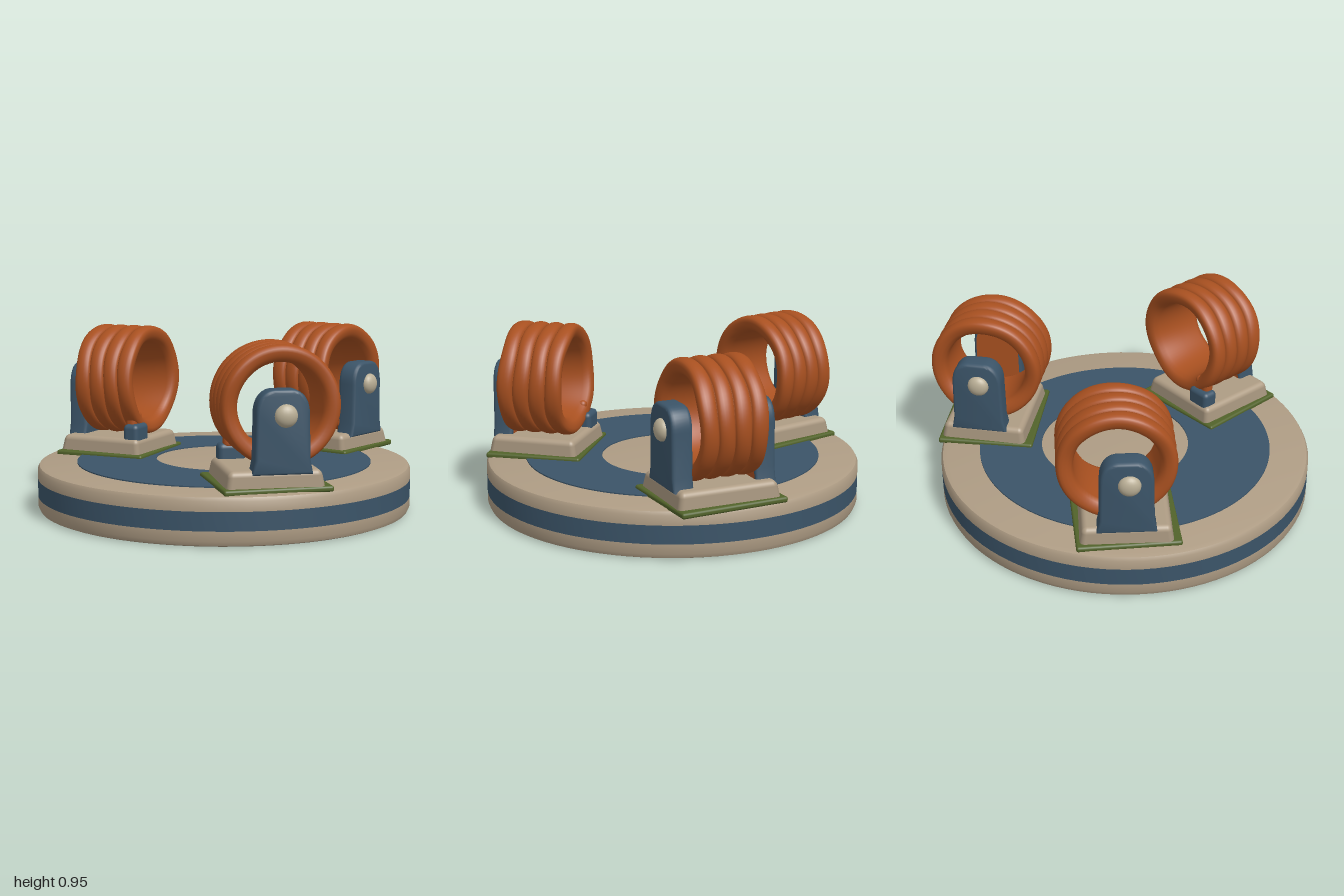
import * as THREE from 'three';
import { mergeVertices, toCreasedNormals } from 'three/addons/utils/BufferGeometryUtils.js';
import { RoundedBoxGeometry } from 'three/addons/geometries/RoundedBoxGeometry.js';

const material = (name, color) => {
  const m = new THREE.MeshStandardMaterial({ color });
  m.name = name;
  return m;
};

export function createModel() {
  const beige = material('beige stone', 0xae9c84);
  const blue = material('slate blue', 0x3b5468);
  const orange = material('burnt orange', 0xa85020);
  const pale = material('pale bolt', 0xb9ae95);
  const moss = material('moss green', 0x52632a);

  const model = new THREE.Group();
  const add = (parent, name, geometry, mat, x = 0, y = 0, z = 0) => {
    const mesh = new THREE.Mesh(geometry, mat);
    mesh.name = name;
    mesh.position.set(x, y, z);
    parent.add(mesh);
    return mesh;
  };
  const turned = (points) => toCreasedNormals(
    new THREE.LatheGeometry(points.map(([r, y]) => new THREE.Vector2(r, y)), 96), 0.6);

  // Round plinth in three layers
  add(model, 'plinthBottom', turned([[0, 0], [0.97, 0], [0.99, 0.008], [1, 0.03], [1, 0.08]]), beige);
  add(model, 'plinthBand', turned([[1, 0.08], [1, 0.175]]), blue);
  add(model, 'plinthTop', turned([[1, 0.175], [1, 0.225], [0.99, 0.243], [0.965, 0.25], [0, 0.25]]), beige);

  // Painted ring on top, with its hole a little off centre
  const ring = new THREE.Shape().absarc(0, 0, 0.79, 0, Math.PI * 2);
  ring.holes.push(new THREE.Path().absarc(0.03, 0.045, 0.4, 0, Math.PI * 2, true));
  const ringGeometry = new THREE.ExtrudeGeometry(ring, { depth: 0.007, bevelEnabled: false, curveSegments: 72 });
  add(model, 'topRing', ringGeometry.rotateX(-Math.PI / 2), blue, 0, 0.249, 0);

  // Wound coil: four rounded ribs outside, a smooth bore inside, slightly wobbly
  const coilGeometry = (seed) => {
    const length = 0.35, ribs = 4, w = length / ribs, points = [];
    const bore = [[0.245, -0.17], [0.226, -0.158], [0.214, -0.13], [0.21, 0], [0.214, 0.13], [0.226, 0.158], [0.245, 0.17]];
    points.push(new THREE.Vector2(0.245, -0.17));
    for (let i = 0; i < ribs; i++) {
      for (let k = 0; k <= 10; k++) {
        if (i > 0 && k === 0) continue;
        const a = (k / 10) * Math.PI;
        const r = 0.267 + 0.034 * Math.pow(Math.max(0, Math.sin(a)), 0.7);
        points.push(new THREE.Vector2(r, -length / 2 + w * (i + 0.5) - Math.cos(a) * w / 2));
      }
    }
    bore.reverse().forEach(([r, y]) => points.push(new THREE.Vector2(r, y)));
    let g = new THREE.LatheGeometry(points, 72);
    g.deleteAttribute('uv');
    g.deleteAttribute('normal');
    const p = g.attributes.position;
    for (let i = 0; i < p.count; i++) {
      const x = p.getX(i), y = p.getY(i), z = p.getZ(i);
      const a = Math.atan2(z, x), rib = Math.round(y / w);
      p.setY(i, y + 0.006 * Math.sin(2 * a + seed) + 0.003 * Math.sin(5 * a + rib + seed));
    }
    g = mergeVertices(g.rotateX(Math.PI / 2), 1e-4);
    g.computeVertexNormals();
    return g;
  };

  // Upright bracket with a rounded head and a slightly flared foot
  const bracketShape = new THREE.Shape();
  bracketShape.moveTo(-0.135, 0);
  bracketShape.lineTo(0.135, 0);
  bracketShape.lineTo(0.122, 0.06);
  bracketShape.lineTo(0.118, 0.28);
  bracketShape.bezierCurveTo(0.118, 0.345, 0.085, 0.385, 0.04, 0.385);
  bracketShape.lineTo(-0.04, 0.385);
  bracketShape.bezierCurveTo(-0.085, 0.385, -0.118, 0.345, -0.118, 0.28);
  bracketShape.lineTo(-0.122, 0.06);
  bracketShape.closePath();
  const bracketGeometry = toCreasedNormals(new THREE.ExtrudeGeometry(bracketShape, {
    depth: 0.07, bevelThickness: 0.02, bevelSize: 0.015, bevelSegments: 3, curveSegments: 10,
  }).translate(0, 0, -0.035), 0.7);
  const innerFace = new THREE.ShapeGeometry(bracketShape, 10).rotateY(Math.PI);

  const addBracket = (unit, x, z, paintedInside) => {
    const bracket = new THREE.Group();
    bracket.name = 'bracket';
    bracket.position.set(x, 0.345, z);
    if (z < 0) bracket.rotation.y = Math.PI;
    add(bracket, 'bracketPlate', bracketGeometry, blue);
    if (paintedInside) add(bracket, 'bracketInnerFace', innerFace, orange, 0, 0, -0.057);
    const bolt = add(bracket, 'bolt', new THREE.SphereGeometry(0.057, 20, 14), pale, 0.012, 0.275, 0.055);
    bolt.scale.z = 0.65;
    unit.add(bracket);
  };

  // Tapered foot block with rounded edges
  const footGeometry = (width, depth) => {
    const g = new RoundedBoxGeometry(width, 0.11, depth, 4, 0.028);
    const p = g.attributes.position;
    for (let i = 0; i < p.count; i++) {
      const s = 0.96 - (p.getY(i) / 0.055) * 0.04;
      p.setX(i, p.getX(i) * s);
      p.setZ(i, p.getZ(i) * s);
    }
    return g;
  };

  // Three coil stands; local +z is the coil axis
  const stands = [
    { name: 'frontCoilStand', at: [0.26, 0.645], turn: 16, size: [0.5, 0.5], coil: [0.048, -0.022], brackets: [[0.033, 0.19]], stub: -0.14, painted: true },
    { name: 'backLeftCoilStand', at: [0.54, -0.555], turn: 56, size: [0.47, 0.56], coil: [0, 0], brackets: [[0.015, 0.22], [0.02, -0.22]], painted: true },
    { name: 'rightCoilStand', at: [-0.61, -0.275], turn: -110.8, size: [0.48, 0.5], coil: [-0.042, -0.027], brackets: [[0, 0.19]], stub: 0.14, painted: false },
  ];
  stands.forEach((s, i) => {
    const unit = new THREE.Group();
    unit.name = s.name;
    unit.position.set(s.at[0], 0, s.at[1]);
    unit.rotation.y = THREE.MathUtils.degToRad(s.turn);
    const [w, d] = s.size;

    // Moss edge peeking out around the foot
    const edge = add(unit, 'mossEdge', new RoundedBoxGeometry(w + 0.05, 0.03, d + 0.02, 2, 0.012), moss, 0, 0.257, 0);
    edge.rotation.y = 0.05;
    add(unit, 'foot', footGeometry(w, d), beige, 0, 0.298, 0);
    add(unit, 'coil', coilGeometry(i * 2.1), orange, s.coil[0], 0.65, s.coil[1]);
    s.brackets.forEach(([x, z]) => addBracket(unit, x, z, s.painted));

    // Low inner stub that blends up into the coil
    if (s.stub) {
      add(unit, 'innerStub', new RoundedBoxGeometry(0.14, 0.11, 0.09, 3, 0.025), blue, s.stub, 0.375, -0.18);
      add(unit, 'stubCap', new RoundedBoxGeometry(0.1, 0.09, 0.06, 3, 0.025), orange, s.stub * 0.95, 0.45, -0.165);
    }
    model.add(unit);
  });

  return model;
}
